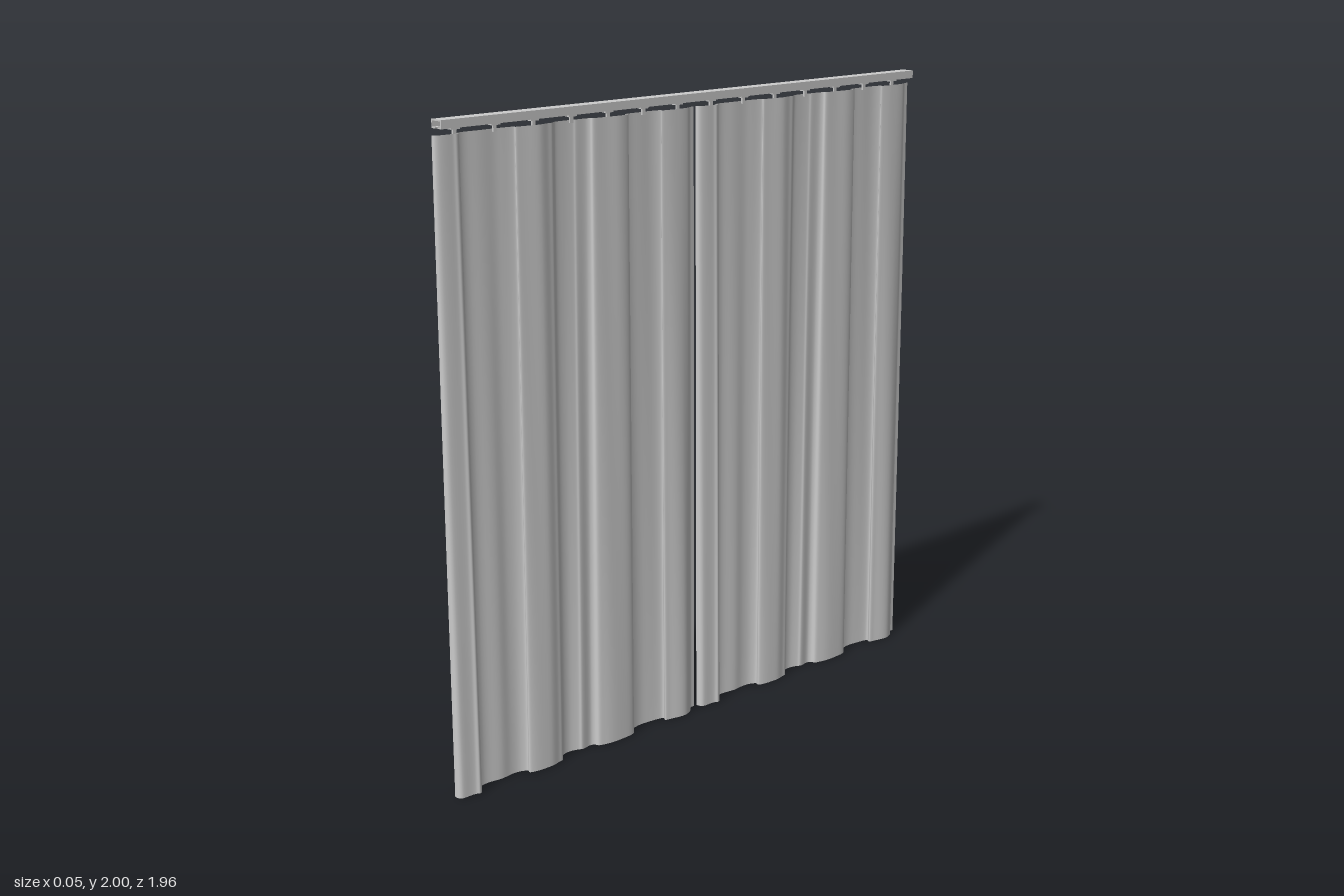
import * as THREE from 'three';

const grey = new THREE.MeshStandardMaterial({ color: 0xcccccc });
const cloth = new THREE.MeshStandardMaterial({ color: 0xcccccc, side: THREE.DoubleSide });

const TOP = 1.958;      // top edge of the cloth
const PITCH = 0.983;    // distance between the two panels

// Cross-section of one pleated panel at the hem, as [z, x]
const PLEATS = [
  [0.978, -0.012], [0.975, 0.004], [0.965, 0.012], [0.92, 0.014], [0.908, 0.019],
  [0.898, 0.012], [0.904, -0.002], [0.888, -0.014], [0.86, -0.02], [0.80, -0.016],
  [0.76, -0.018], [0.725, -0.014], [0.708, -0.004], [0.712, 0.008], [0.695, 0.015],
  [0.635, 0.022], [0.60, 0.013], [0.583, 0.01], [0.575, 0], [0.565, -0.013],
  [0.53, -0.021], [0.498, -0.015], [0.488, -0.009], [0.45, -0.011], [0.438, -0.004],
  [0.432, 0.008], [0.41, 0.014], [0.345, 0.021], [0.30, 0.015], [0.288, 0.008],
  [0.294, -0.006], [0.275, -0.014], [0.22, -0.021], [0.165, -0.015], [0.145, -0.006],
  [0.151, 0.008], [0.13, 0.014], [0.075, 0.021], [0.045, 0.012], [0.032, 0.002],
  [0.024, -0.008], [0.005, -0.012],
];

// Pleated sheet: the folds deepen and lean slightly towards the hem
function panelGeometry() {
  const cols = 210, rows = 16;
  const curve = new THREE.CatmullRomCurve3(
    PLEATS.map(([z, x]) => new THREE.Vector3(x, 0, z)), false, 'centripetal');
  const section = Array.from({ length: cols + 1 }, (_, i) => curve.getPoint(i / cols));
  const geo = new THREE.PlaneGeometry(1, 1, cols, rows);
  const pos = geo.attributes.position;
  for (let r = 0; r <= rows; r++) {
    const t = r / rows; // 0 at the top, 1 at the hem
    for (let c = 0; c <= cols; c++) {
      const p = section[c];
      const s = c / cols;
      const depth = 0.5 + 0.5 * t;
      const lean = (1 - t) * (0.007 * Math.cos(Math.PI * s * 2) - 0.004 * Math.sin(Math.PI * s));
      const ripple = 0.0012 * Math.sin(p.z * 62 + t * 2.5);
      pos.setXYZ(r * (cols + 1) + c, p.x * depth + ripple, TOP * (1 - t), p.z + lean);
    }
  }
  geo.computeVertexNormals();
  return geo;
}

// Rail: a shallow channel, open along a slot underneath
function railGeometry() {
  const s = new THREE.Shape();
  const pts = [
    [-0.022, 0], [-0.022, 0.025], [0.022, 0.025], [0.022, 0], [0.006, 0], [0.006, 0.004],
    [0.018, 0.004], [0.018, 0.021], [-0.018, 0.021], [-0.018, 0.004], [-0.006, 0.004], [-0.006, 0],
  ];
  s.setFromPoints(pts.map(([x, y]) => new THREE.Vector2(x, y)));
  const geo = new THREE.ExtrudeGeometry(s, { depth: 1.94, bevelEnabled: false });
  geo.translate(-0.004, 1.975, -0.97);
  return geo;
}

export function createModel() {
  const model = new THREE.Group();
  model.name = 'curtain';

  const add = (parent, name, geo, mat, x = 0, y = 0, z = 0) => {
    const mesh = new THREE.Mesh(geo, mat);
    mesh.name = name;
    mesh.position.set(x, y, z);
    parent.add(mesh);
    return mesh;
  };

  add(model, 'rail', railGeometry(), grey);

  // Two identical panels side by side
  const panel = panelGeometry();
  add(model, 'leftPanel', panel, cloth);
  add(model, 'rightPanel', panel, cloth, 0, 0, -PITCH);

  // Evenly spaced gliders running in the slot
  const head = new THREE.BoxGeometry(0.016, 0.006, 0.03);
  const stem = new THREE.BoxGeometry(0.006, 0.024, 0.012);
  const gliders = new THREE.Group();
  gliders.name = 'gliders';
  for (let i = 0; i < 14; i++) {
    const glider = new THREE.Group();
    glider.name = 'glider';
    glider.position.set(-0.003, 0, 0.912 - i * 0.1385);
    add(glider, 'gliderHead', head, grey, 0, 1.972, 0);
    add(glider, 'gliderStem', stem, grey, 0, 1.962, 0);
    gliders.add(glider);
  }
  model.add(gliders);

  return model;
}
